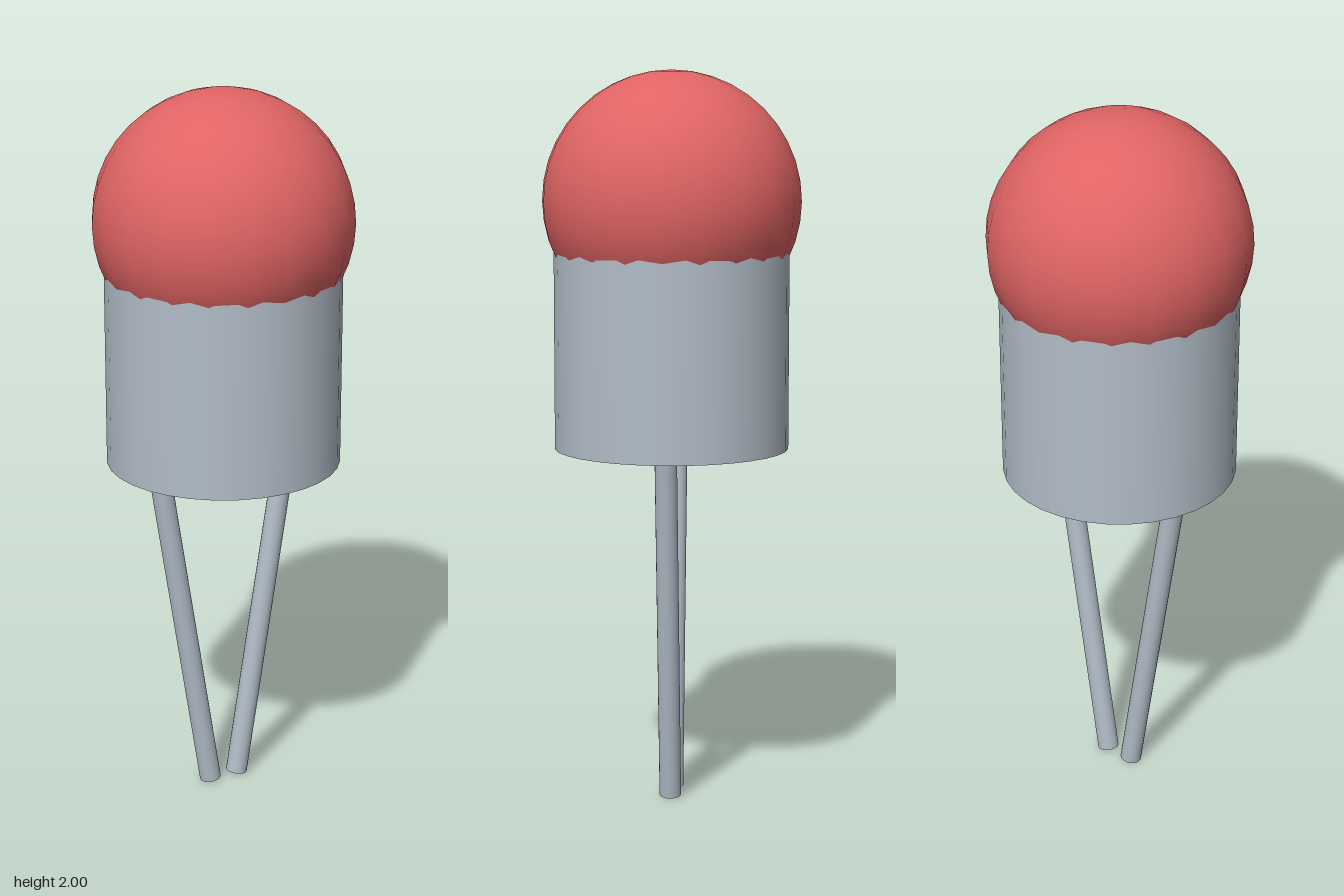
import * as THREE from 'three';

export function createModel() {
  const model = new THREE.Group();
  model.name = 'indicatorLamp';

  const red = new THREE.MeshStandardMaterial({ color: 0xe06464 });
  red.name = 'red';
  const grey = new THREE.MeshStandardMaterial({ color: 0xb2bdc8 });
  grey.name = 'grey';

  const add = (name, geometry, material) => {
    const mesh = new THREE.Mesh(geometry, material);
    mesh.name = name;
    model.add(mesh);
    return mesh;
  };

  // Round bulb resting in the top of the housing
  add('bulb', new THREE.SphereGeometry(0.352, 20, 20), red).position.y = 1.648;

  // Cylindrical housing, its top hidden inside the bulb
  const bottom = 0.975, top = 1.54;
  add('housing', new THREE.CylinderGeometry(0.32, 0.32, top - bottom, 32), grey)
    .position.y = (bottom + top) / 2;

  // Two wire legs converging towards the ground
  for (const side of [1, -1]) {
    const foot = new THREE.Vector3(side * 0.043, 0.005, 0);
    const head = new THREE.Vector3(side * 0.204, 1.0, 0);
    const dir = head.clone().sub(foot);
    const leg = add(side > 0 ? 'leftLeg' : 'rightLeg',
      new THREE.CylinderGeometry(0.03, 0.03, dir.length(), 20), grey);
    leg.position.copy(foot).add(head).multiplyScalar(0.5);
    leg.quaternion.setFromUnitVectors(new THREE.Vector3(0, 1, 0), dir.normalize());
  }

  return model;
}
